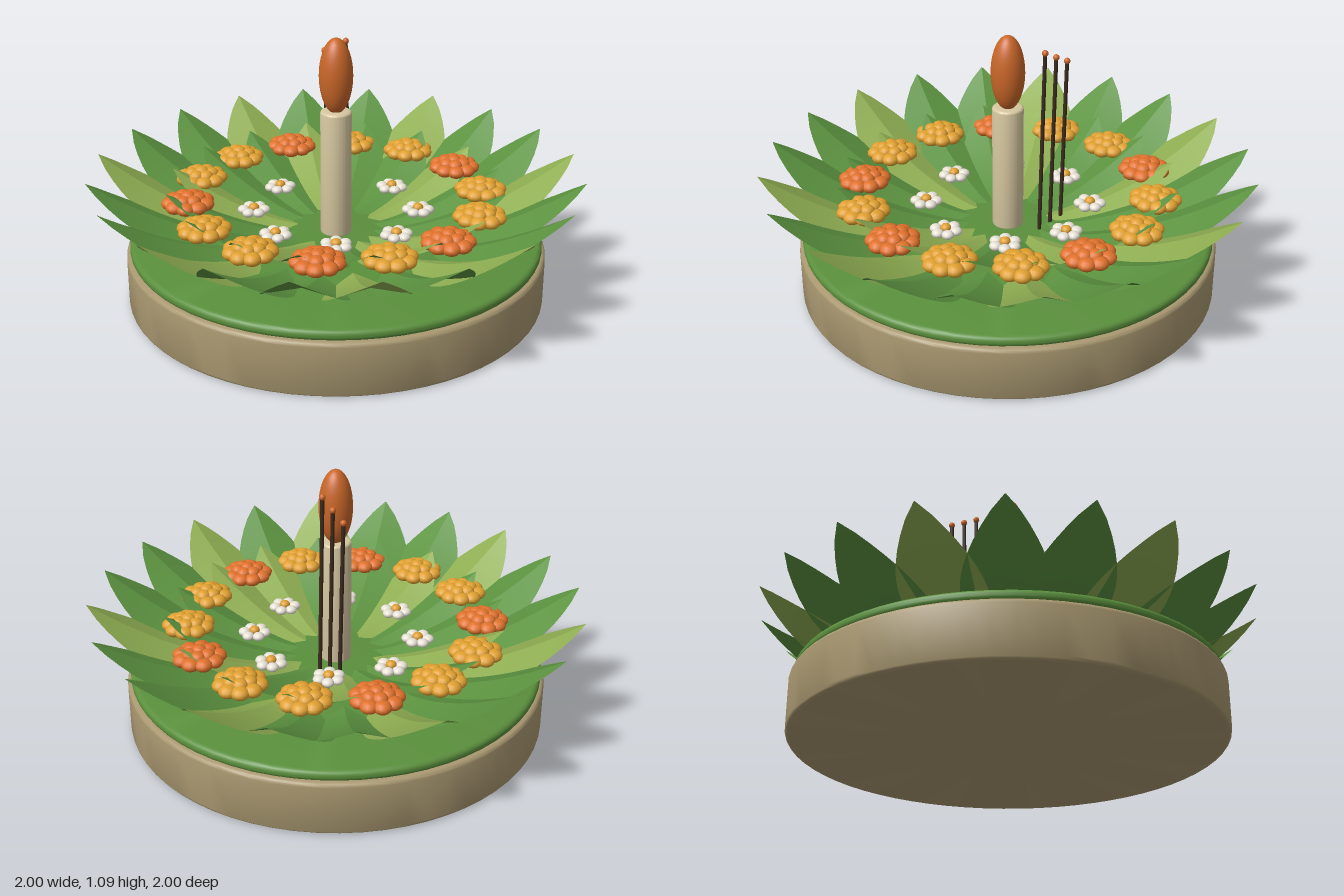
import * as THREE from 'three';
import { mergeGeometries, toCreasedNormals } from 'three/addons/utils/BufferGeometryUtils.js';

const mat = (name, color, side = THREE.FrontSide) => {
  const m = new THREE.MeshStandardMaterial({ color, side });
  m.name = name;
  return m;
};

// Solid round disc with softly rounded rims
function roundedDisc(radius, y0, y1, bevel) {
  const pts = [new THREE.Vector2(0, y0)];
  for (let i = 0; i <= 4; i++) {
    const a = -Math.PI / 2 + (i / 4) * Math.PI / 2;
    pts.push(new THREE.Vector2(radius - bevel + Math.cos(a) * bevel, y0 + bevel + Math.sin(a) * bevel));
  }
  for (let i = 0; i <= 4; i++) {
    const a = (i / 4) * Math.PI / 2;
    pts.push(new THREE.Vector2(radius - bevel + Math.cos(a) * bevel, y1 - bevel + Math.sin(a) * bevel));
  }
  pts.push(new THREE.Vector2(0, y1));
  return toCreasedNormals(new THREE.LatheGeometry(pts, 64), 0.6);
}

// Leaf running along +x, curving upward, folded along its midrib with drooping edges
function leafGeometry(r0, r1, y0, y1, halfWidth, droop) {
  const geo = new THREE.PlaneGeometry(1, 2, 14, 2);
  const p = geo.attributes.position;
  for (let i = 0; i < p.count; i++) {
    const t = p.getX(i) + 0.5;
    const side = p.getY(i);
    const w = halfWidth * Math.pow(Math.max(Math.sin(Math.PI * t), 0), 0.8) + 0.002;
    p.setXYZ(i, r0 + (r1 - r0) * t, y0 + (y1 - y0) * Math.pow(t, 1.55) - Math.abs(side) * w * droop, -side * w);
  }
  return toCreasedNormals(geo, 0.35);
}

// Squashed ball, used for petals
function ball(r, x, y, z, flat = 0.7) {
  const g = new THREE.SphereGeometry(r, 12, 8);
  g.scale(1, flat, 1);
  g.translate(x, y, z);
  return g;
}

function ringOfBalls(count, ringRadius, r, y, flat) {
  return Array.from({ length: count }, (_, i) => {
    const a = (i / count) * Math.PI * 2;
    return ball(r, Math.cos(a) * ringRadius, y, Math.sin(a) * ringRadius, flat);
  });
}

export function createModel() {
  const model = new THREE.Group();
  model.name = 'floatingLeafBasket';

  const trunk = mat('trunkTan', 0xa99870);
  const moss = mat('discGreen', 0x5a8f3c);
  const leafMid = mat('leafGreen', 0x5c9340, THREE.DoubleSide);
  const leafLight = mat('leafLightGreen', 0x8fae52, THREE.DoubleSide);
  const yellow = mat('marigoldYellow', 0xe0a030);
  const orange = mat('marigoldOrange', 0xe0722c);
  const white = mat('petalWhite', 0xece6da);
  const wax = mat('candleCream', 0xd6c7a0);
  const flameColor = mat('flameOrange', 0xc96628);
  const stickBrown = mat('stickBrown', 0x3a2a1e);

  const add = (name, geo, material, parent = model) => {
    const m = new THREE.Mesh(geo, material);
    m.name = name;
    parent.add(m);
    return m;
  };

  // Base and green top disc
  add('base', roundedDisc(0.857, 0, 0.225, 0.018), trunk);
  add('topDisc', roundedDisc(0.842, 0.222, 0.266, 0.02), moss);

  // Two rings of leaves, every third one lighter
  const leafRing = (name, count, offset, geo) => {
    const ring = new THREE.Group();
    ring.name = name;
    for (let i = 0; i < count; i++) {
      const leaf = add('leaf', geo, i % 3 === 0 ? leafLight : leafMid, ring);
      leaf.rotation.y = ((i + offset) / count) * Math.PI * 2;
    }
    model.add(ring);
  };
  leafRing('outerLeaves', 20, 0, leafGeometry(0.42, 1, 0.28, 0.54, 0.16, 0.25));
  leafRing('innerLeaves', 16, 0.5, leafGeometry(0.16, 0.69, 0.28, 0.485, 0.13, 0.25));

  // Ring of marigolds, every third one orange
  const marigoldGeo = mergeGeometries([
    ...ringOfBalls(9, 0.072, 0.037, 0, 0.7),
    ...ringOfBalls(6, 0.04, 0.032, 0.018, 0.75),
    ball(0.032, 0, 0.026, 0, 0.75),
  ]);
  for (let i = 0; i < 14; i++) {
    const a = (i / 14) * Math.PI * 2;
    const m = add('marigold', marigoldGeo, i % 3 === 0 ? orange : yellow);
    m.position.set(Math.cos(a) * 0.6, 0.42, -Math.sin(a) * 0.6);
    m.rotation.y = a + i * 0.7;
  }

  // Ring of small white blossoms
  const petalGeo = mergeGeometries(ringOfBalls(6, 0.042, 0.025, 0, 0.7));
  const heartGeo = ball(0.022, 0, 0.01, 0, 0.8);
  for (let i = 0; i < 8; i++) {
    const a = (i / 8) * Math.PI * 2;
    const blossom = new THREE.Group();
    blossom.name = 'blossom';
    add('petals', petalGeo, white, blossom);
    add('heart', heartGeo, yellow, blossom);
    blossom.position.set(Math.cos(a) * 0.336, 0.36, -Math.sin(a) * 0.336);
    blossom.rotation.y = a;
    model.add(blossom);
  }

  // Candle and flame
  add('candle', roundedDisc(0.063, 0.26, 0.79, 0.01), wax);
  const flame = add('flame', new THREE.SphereGeometry(1, 32, 24), flameColor);
  flame.scale.set(0.068, 0.156, 0.068);
  flame.position.y = 0.935;

  // Three leaning incense sticks with glowing tips
  const up = new THREE.Vector3(0, 1, 0);
  [[-0.176, -0.197, 0.968], [-0.115, -0.136, 1.0], [-0.054, -0.075, 1.034]].forEach(([x0, x1, top]) => {
    const a = new THREE.Vector3(x0, 0.26, -0.13);
    const b = new THREE.Vector3(x1, top, -0.13);
    const d = b.clone().sub(a);
    const stick = add('incenseStick', new THREE.CylinderGeometry(0.008, 0.008, d.length(), 10), stickBrown);
    stick.position.copy(a).add(b).multiplyScalar(0.5);
    stick.quaternion.setFromUnitVectors(up, d.normalize());
    add('incenseTip', new THREE.SphereGeometry(0.013, 12, 8), flameColor).position.copy(b);
  });

  return model;
}
